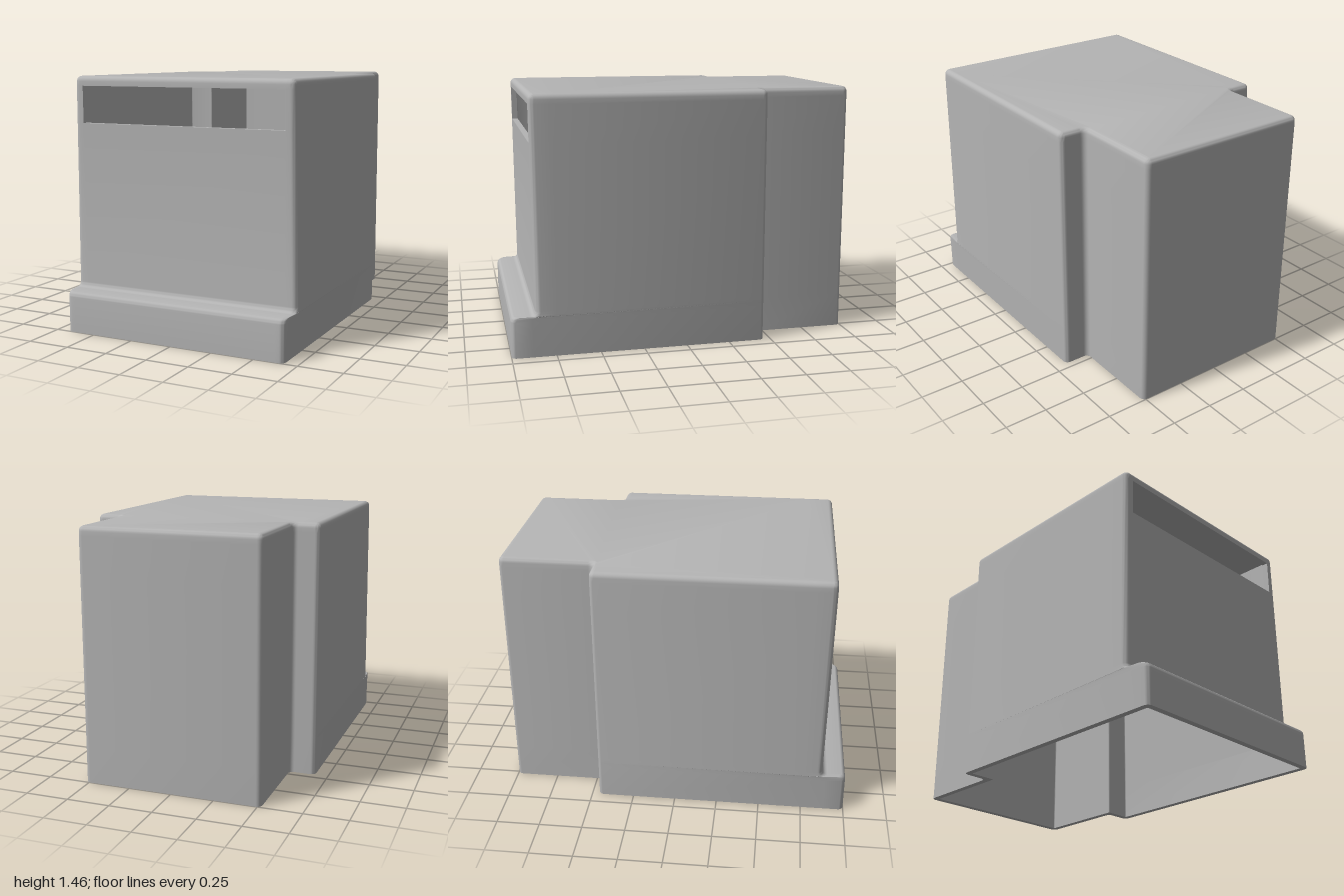
import * as THREE from 'three';
import { toCreasedNormals } from 'three/addons/utils/BufferGeometryUtils.js';

const HEIGHT = 1.455, R = 0.03, WALL = 0.035, SLOT_X = 0.622, SLOT_LOW = 1.19, SLOT_HIGH = 1.4, STEPS = 6;

// Slight outward swell of the side walls, strongest just above the front step
function swell(y, z) {
  const fy = y < 0.23 ? y / 0.23 : (HEIGHT - y) / (HEIGHT - 0.23);
  const fz = z > 0.85 ? (1 - z) / 0.15 : (z + 0.46) / 1.31;
  return 0.015 * Math.max(0, fy) * Math.max(0, fz);
}

// T-shaped outline at height y; the last two points are the ends of the slot
function outline(y, front, inset, rOut, rIn) {
  const w = 0.675 - inset, n = 0.52 - inset, shoulder = -0.46 + inset, back = -1 + inset, f = front - inset;
  const corners = [[w, f], [w, shoulder], [n, shoulder], [n, back],
    [-n, back], [-n, shoulder], [-w, shoulder], [-w, f]].map(c => new THREE.Vector2(...c));
  const flat = [];
  corners.forEach((p, k) => {
    if (k === 7) flat.push(new THREE.Vector2(-w, f - 0.12));
    const a = corners[(k + 7) % 8].clone().sub(p).normalize();
    const b = corners[(k + 1) % 8].clone().sub(p).normalize();
    const r = k === 2 || k === 5 ? rIn : rOut;
    for (let i = 0; i <= STEPS; i++) {
      const t = i / STEPS * Math.PI / 2;
      flat.push(p.clone().addScaledVector(a, r * (1 - Math.sin(t))).addScaledVector(b, r * (1 - Math.cos(t))));
    }
    if (k === 0) flat.push(new THREE.Vector2(w, f - 0.12));
  });
  flat.push(new THREE.Vector2(-SLOT_X, f), new THREE.Vector2(SLOT_X, f));
  return flat.map(({ x, y: z }) =>
    new THREE.Vector3(Math.abs(x) > 0.6 && Math.abs(x) !== SLOT_X ? x + Math.sign(x) * swell(y, z) : x, y, z));
}

// Collects triangles, leaving out collapsed ones
class Surface {
  constructor() { this.data = []; }
  tri(a, b, c) {
    if (new THREE.Triangle(a, b, c).getArea() < 1e-8) return;
    for (const p of [a, b, c]) this.data.push(p.x, p.y, p.z);
  }
  quad(a, b, c, d) { this.tri(a, b, c); this.tri(a, c, d); }
  mesh(name, material) {
    const g = new THREE.BufferGeometry();
    g.setAttribute('position', new THREE.Float32BufferAttribute(this.data, 3));
    const m = new THREE.Mesh(toCreasedNormals(g, 0.6), material);
    m.name = name;
    return m;
  }
}

// Walls through the outlines, with the slot left open, closed by a flat top
function loft(rings, inward) {
  const s = new Surface();
  for (let j = 0; j + 1 < rings.length; j++) {
    const lo = rings[j], hi = rings[j + 1], n = lo.length;
    for (let i = 0; i < n; i++) {
      if (i === n - 2 && lo[0].y === SLOT_LOW) continue;
      const k = (i + 1) % n;
      if (inward) s.quad(lo[k], lo[i], hi[i], hi[k]);
      else s.quad(lo[i], lo[k], hi[k], hi[i]);
    }
  }
  const top = rings[rings.length - 1];
  const flat = top.map(p => new THREE.Vector2(p.x, p.z));
  for (const [a, b, c] of THREE.ShapeUtils.triangulateShape(flat, [])) {
    const up = flat[b].clone().sub(flat[a]).cross(flat[c].clone().sub(flat[a])) < 0;
    if (up !== inward) s.tri(top[a], top[b], top[c]);
    else s.tri(top[a], top[c], top[b]);
  }
  return s;
}

export function createModel() {
  const group = new THREE.Group();
  group.name = 'housing';
  const grey = new THREE.MeshStandardMaterial({ color: 0xb4b4b4 });
  grey.name = 'grey';
  const frontAt = y => 0.865 + 0.01 * (y - 0.265) / 1.16;

  // Outer walls: step with rounded lip, hollow fillet, upright front, rounded top edge
  const outer = [outline(0, 1, 0, R, R)];
  const quarter = [...Array(STEPS + 1).keys()].map(i => i / STEPS * Math.PI / 2);
  for (const t of quarter) outer.push(outline(0.205 + R * Math.sin(t), 0.97 + R * Math.cos(t), 0, R, R));
  for (const t of quarter) outer.push(outline(0.265 - R * Math.cos(t), 0.895 - R * Math.sin(t), 0, R, R));
  for (const y of [SLOT_LOW, SLOT_HIGH]) outer.push(outline(y, frontAt(y), 0, R, R));
  for (const t of quarter) {
    const d = R * (1 - Math.cos(t));
    outer.push(outline(HEIGHT - R + R * Math.sin(t), 0.875, d, R - d + 0.002, R + d));
  }
  group.add(loft(outer, false).mesh('outerShell', grey));

  // Inner walls and ceiling
  const inner = [[0, 1], [0.2, 1], [0.2, 0.865], [SLOT_LOW, frontAt(SLOT_LOW)],
    [SLOT_HIGH, frontAt(SLOT_HIGH)], [HEIGHT - WALL, 0.875]]
    .map(([y, f]) => outline(y, f, WALL, 0.005, 0.005));
  group.add(loft(inner, true).mesh('innerShell', grey));

  // Rim around the open underside
  const rim = new Surface(), o = outer[0], n = o.length;
  for (let i = 0; i < n; i++) {
    const k = (i + 1) % n;
    rim.quad(o[i], inner[0][i], inner[0][k], o[k]);
  }
  group.add(rim.mesh('bottomRim', grey));

  // Sides of the front slot through the wall
  const slotCorners = rings => {
    const j = rings.findIndex(r => r[0].y === SLOT_LOW);
    return [rings[j][n - 2], rings[j][n - 1], rings[j + 1][n - 1], rings[j + 1][n - 2]];
  };
  const slot = new Surface(), so = slotCorners(outer), si = slotCorners(inner);
  for (let i = 0; i < 4; i++) {
    const k = (i + 1) % 4;
    slot.quad(so[i], so[k], si[k], si[i]);
  }
  group.add(slot.mesh('slotFrame', grey));
  return group;
}
